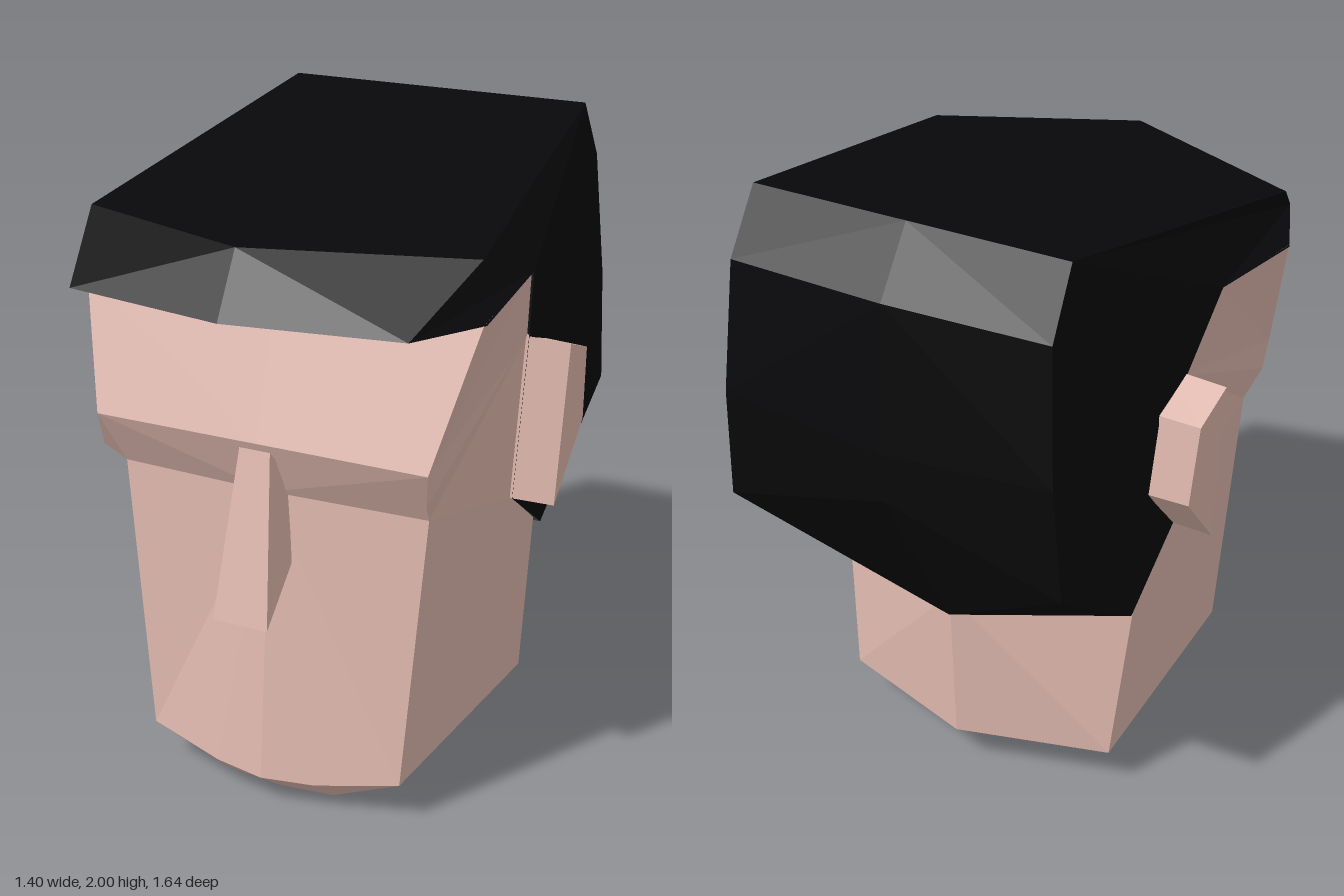
import * as THREE from 'three';

const skin = new THREE.MeshStandardMaterial({ color: 0xdfb8ae, flatShading: true, side: THREE.DoubleSide });
const hairMat = new THREE.MeshStandardMaterial({ color: 0x08080a, flatShading: true, side: THREE.DoubleSide });

// Faceted mesh from polygons of named points, each turned away from a centre.
// With mirror set, every polygon is repeated on the -x side.
function facets(name, material, points, faces, centre, mirror = true) {
  const pos = [];
  const mid = new THREE.Vector3(...centre);
  const add = (a, b, c) => {
    const n = b.clone().sub(a).cross(c.clone().sub(a));
    const out = a.clone().add(b).add(c).divideScalar(3).sub(mid);
    const tri = n.dot(out) < 0 ? [a, c, b] : [a, b, c];
    tri.forEach(v => pos.push(v.x, v.y, v.z));
    if (mirror) [tri[0], tri[2], tri[1]].forEach(v => pos.push(-v.x, v.y, v.z));
  };
  for (const face of faces) {
    const v = face.split(' ').map(k => new THREE.Vector3(...points[k]));
    for (let i = 1; i < v.length - 1; i++) add(v[0], v[i], v[i + 1]);
  }
  const geo = new THREE.BufferGeometry();
  geo.setAttribute('position', new THREE.Float32BufferAttribute(pos, 3));
  geo.computeVertexNormals();
  const mesh = new THREE.Mesh(geo, material);
  mesh.name = name;
  return mesh;
}

function makeHead() {
  const p = {
    top: [0.64, 1.63, 0.48], top0: [0, 1.63, 0.48],
    brow: [0.54, 1.215, 0.615], brow0: [0, 1.215, 0.615],
    lid: [0.53, 1.115, 0.6],
    cheek: [0.505, 1.035, 0.52], cheek0: [0, 1.035, 0.54],
    jawFront: [0.43, 0.14, 0.54], chin: [0.17, 0.1, 0.597], chin0: [0, 0.1, 0.63],
    under: [0.19, 0.02, 0.51], under0: [0, 0.005, 0.51],
    jawMid: [0.335, 0.09, 0.1], jawBack: [0.48, 0.14, -0.32], nape0: [0, 0.14, -0.465],
    neck: [0.53, 0.72, -0.27], neck0: [0, 0.68, -0.485],
    temple: [0.612, 1.66, 0.05], earTop: [0.56, 1.41, -0.07], earLow: [0.532, 0.88, -0.055],
  };
  return facets('head', skin, p, [
    // forehead, brow and face
    'top top0 brow0 brow', 'brow brow0 cheek0 cheek', 'brow cheek lid',
    'cheek0 cheek jawFront chin chin0',
    // chin, sloping jaw edge and underside
    'chin chin0 under0 under', 'chin jawFront under',
    'jawMid under jawFront jawBack', 'under0 under jawMid jawBack nape0',
    // side of the head
    'temple top brow earTop', 'earTop brow lid cheek earLow',
    'earLow cheek jawFront jawBack neck',
    // back of the neck
    'jawBack nape0 neck0 neck',
  ], [0, 0.8, 0.1]);
}

function makeHair() {
  const p = {
    peak: [0.51, 2, -0.65], peak0: [0, 2, -0.65],
    crest: [0.625, 1.81, 0.46], crest0: [0, 1.83, 0.71],
    fringe: [0.53, 1.645, 0.735], fringe0: [0, 1.645, 0.82],
    side: [0.645, 1.628, 0.47], root0: [0, 1.628, 0.47],
    temple: [0.62, 1.66, 0.05], earTop: [0.57, 1.41, -0.06], earLow: [0.54, 0.88, -0.045],
    low: [0.54, 0.69, -0.31], low0: [0, 0.61, -0.49],
    back1: [0.518, 1.81, -0.765], back10: [0, 1.81, -0.785],
    back2: [0.545, 1.4, -0.805], back20: [0, 1.36, -0.82],
    back3: [0.565, 1.04, -0.79], back30: [0, 1.2, -0.812],
  };
  return facets('hair', hairMat, p, [
    // top and fringe
    'peak0 crest0 crest peak', 'crest0 fringe0 fringe crest',
    'crest fringe peak', 'fringe temple peak', 'fringe side temple',
    'fringe0 fringe side root0',
    // back
    'peak0 peak back1 back10', 'back10 back1 back2 back20',
    'back20 back2 back3 back30', 'back30 back3 low0', 'back3 low low0',
    // side behind the ear
    'peak temple back1', 'back1 temple earTop back2',
    'earTop earLow back3 back2', 'earLow low back3',
  ], [0, 1.7, -0.2]);
}

function makeNose() {
  const p = {
    a: [0.05, 1.2, 0.625], a0: [0, 1.2, 0.625],
    b: [0.09, 0.683, 0.735], b0: [0, 0.683, 0.735],
    c: [0.074, 0.82, 0.545], c0: [0, 0.82, 0.545],
    d: [0.056, 1.1, 0.53],
  };
  return facets('nose', skin, p, ['a a0 b0 b', 'b b0 c0 c', 'a b c d'], [0, 0.93, 0.6]);
}

// Ear: four-sided outline whose outer face slants and is slightly smaller.
function makeEar(side) {
  const outline = [[1.41, -0.06], [1.35, -0.23], [1.1, -0.26], [0.88, -0.045]];
  const p = {};
  outline.forEach(([y, z], i) => {
    p['i' + i] = [side * 0.5, y + (y > 1.3 ? 0.008 : 0), z];
    p['o' + i] = [side * (0.675 + (y - 0.88) * 0.05), y, z + (i === 0 || i === 3 ? -0.008 : 0.005)];
  });
  const faces = ['o0 o1 o2 o3'];
  for (let i = 0; i < 4; i++) {
    const j = (i + 1) % 4;
    faces.push(`i${i} i${j} o${j} o${i}`);
  }
  return facets(side > 0 ? 'leftEar' : 'rightEar', skin, p, faces, [side * 0.6, 1.18, -0.14], false);
}

export function createModel() {
  const group = new THREE.Group();
  group.name = 'lowPolyHead';
  group.add(makeHead(), makeHair(), makeNose(), makeEar(1), makeEar(-1));
  return group;
}
